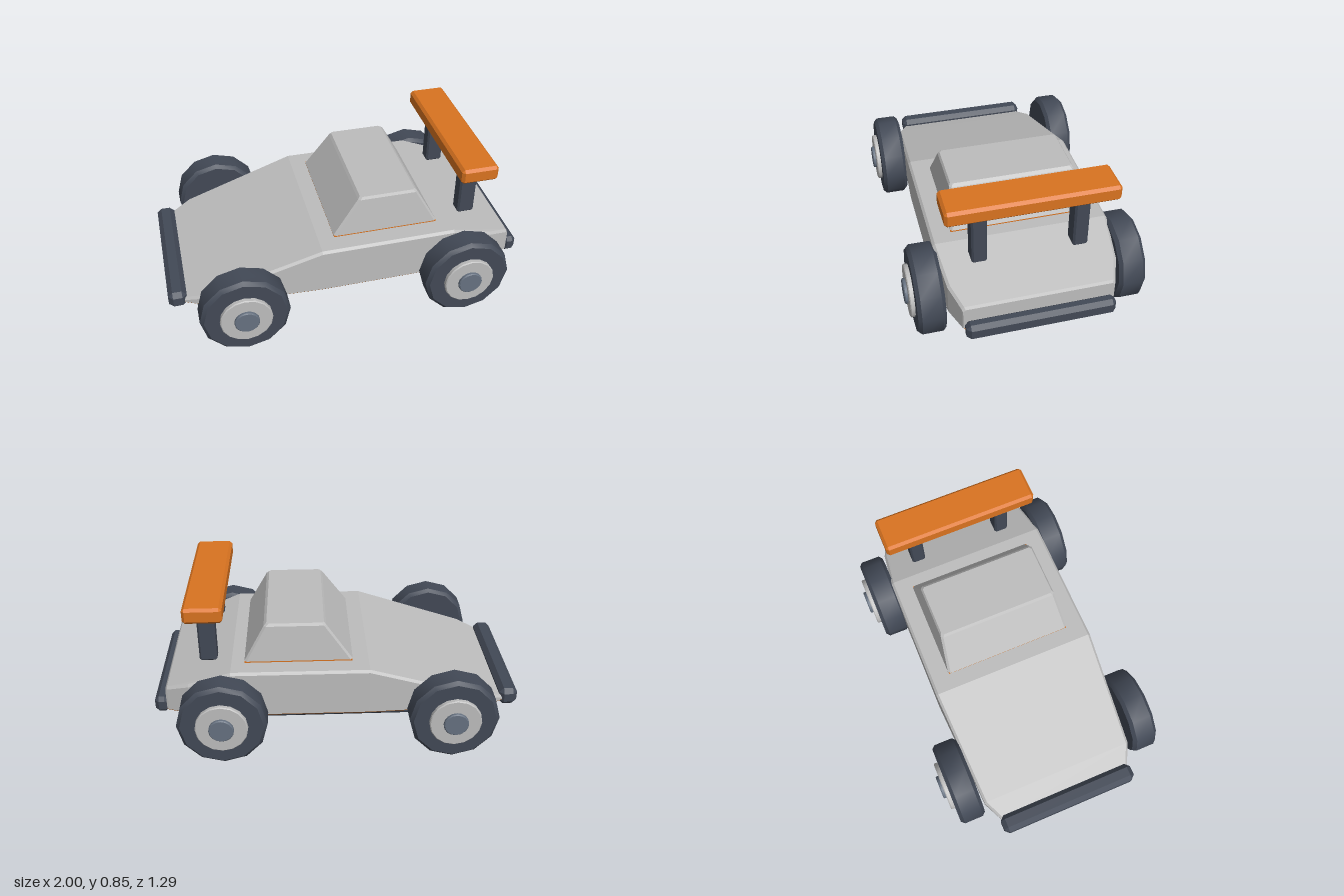
import * as THREE from 'three';
import { ConvexGeometry } from 'three/addons/geometries/ConvexGeometry.js';
import { toCreasedNormals } from 'three/addons/utils/BufferGeometryUtils.js';

const material = (name, color) => {
  const m = new THREE.MeshStandardMaterial({ color });
  m.name = name;
  return m;
};

export function createModel() {
  const car = new THREE.Group();
  car.name = 'raceCar';
  const paint = material('light grey paint', 0xbdbdbd);
  const orange = material('orange trim', 0xd97320);
  const dark = material('dark rubber', 0x424956);
  const steel = material('blue grey cap', 0x667180);

  const add = (name, geometry, mat, parent = car) => {
    const mesh = new THREE.Mesh(geometry, mat);
    mesh.name = name;
    parent.add(mesh);
    return mesh;
  };

  // Box between two corners with every edge chamfered by c
  const chamferBox = (x0, x1, y0, y1, z0, z1, c) => {
    const pts = [];
    for (const [x, i] of [[x0, c], [x1, -c]])
      for (const [y, j] of [[y0, c], [y1, -c]])
        for (const [z, k] of [[z0, c], [z1, -c]])
          pts.push(
            new THREE.Vector3(x, y + j, z + k),
            new THREE.Vector3(x + i, y, z + k),
            new THREE.Vector3(x + i, y + j, z)
          );
    return new ConvexGeometry(pts);
  };

  // Wedge body: stations of x, top height, half width
  const stations = [
    [-0.915, 0.25, 0.39], [-0.8, 0.288, 0.445], [-0.17, 0.487, 0.475],
    [0.57, 0.487, 0.472], [0.8, 0.406, 0.445], [0.922, 0.365, 0.4], [0.932, 0.352, 0.395],
  ];
  const shell = [];
  const plate = [];
  for (const [x, top, w] of stations) {
    for (const s of [-1, 1]) {
      shell.push(
        new THREE.Vector3(x, 0.226, s * w),
        new THREE.Vector3(x, top - 0.013, s * w),
        new THREE.Vector3(x, top, s * (w - 0.013))
      );
      plate.push(
        new THREE.Vector3(x, 0.226, s * w),
        new THREE.Vector3(x, 0.217, s * (w - 0.008))
      );
    }
  }
  add('body', new ConvexGeometry(shell), paint);
  add('bodyUnderside', new ConvexGeometry(plate), orange);
  add('chassis', chamferBox(-0.85, 0.85, 0.132, 0.219, -0.375, 0.375, 0.018), dark);

  // Tapered cabin with an orange sill
  const cabin = [];
  for (const [x0, x1, y, w] of [[-0.083, 0.5, 0.495, 0.365], [0.058, 0.39, 0.692, 0.339], [0.07, 0.375, 0.706, 0.33]]) {
    for (const s of [-1, 1]) {
      for (const [x, d] of [[x0, 0.012], [x1, -0.012]]) {
        cabin.push(new THREE.Vector3(x, y, s * (w - 0.012)), new THREE.Vector3(x + d, y, s * w));
      }
    }
  }
  add('cabin', new ConvexGeometry(cabin), paint);
  add('cabinSill', new THREE.BoxGeometry(0.58, 0.009, 0.725), orange).position.set(0.2085, 0.4905, 0);

  // Bumpers
  add('frontBumper', chamferBox(-1, -0.9, 0.19, 0.29, -0.4, 0.4, 0.025), dark);
  add('rearBumper', chamferBox(0.925, 1, 0.193, 0.287, -0.39, 0.39, 0.022), dark);

  // Rear wing on two posts
  add('wing', chamferBox(0.593, 0.798, 0.77, 0.857, -0.443, 0.443, 0.015), orange);
  for (const s of [-1, 1]) {
    add(s > 0 ? 'leftWingPost' : 'rightWingPost',
      chamferBox(0.65, 0.745, 0.47, 0.785, s * 0.265 - 0.04, s * 0.265 + 0.04, 0.01), dark);
  }

  // Turned parts run along z; profile is [radius, z]
  const turned = (profile, sides, crease) => {
    const g = new THREE.LatheGeometry(profile.map(([r, z]) => new THREE.Vector2(r, z)), sides);
    g.rotateX(Math.PI / 2);
    return toCreasedNormals(g, crease);
  };
  const tyre = turned([[0, -0.073], [0.222, -0.073], [0.241, -0.054], [0.241, 0.054], [0.222, 0.073], [0, 0.073]], 12, 0.6);
  const rim = turned([[0, 0.06], [0.14, 0.06], [0.14, 0.092], [0.135, 0.097], [0, 0.097]], 16, 0.5);
  const cap = turned([[0, 0.09], [0.067, 0.09], [0.067, 0.109], [0.062, 0.114], [0, 0.114]], 16, 0.5);
  for (const [end, x] of [['front', -0.615], ['rear', 0.62]]) {
    for (const s of [-1, 1]) {
      const wheel = new THREE.Group();
      wheel.name = end + (s > 0 ? 'NearWheel' : 'FarWheel');
      wheel.position.set(x, 0.245, s * 0.533);
      if (s < 0) wheel.rotation.y = Math.PI;
      add('tyre', tyre, dark, wheel);
      add('rim', rim, paint, wheel);
      add('hubCap', cap, steel, wheel);
      car.add(wheel);
    }
  }
  return car;
}
